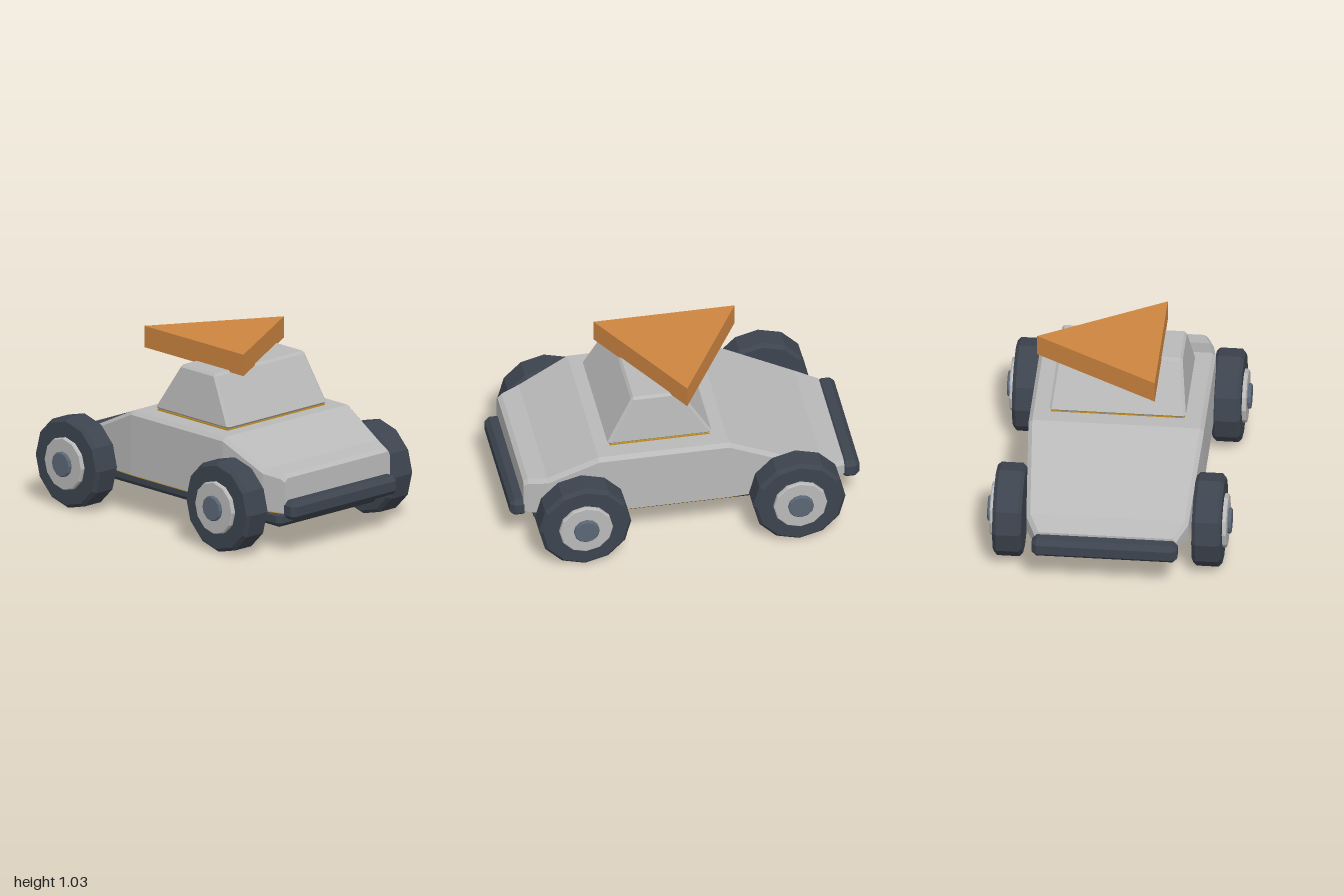
import * as THREE from 'three';
import { ConvexGeometry } from 'three/addons/geometries/ConvexGeometry.js';

const material = (name, color) => {
  const m = new THREE.MeshStandardMaterial({ color, flatShading: true });
  m.name = name;
  return m;
};

// Chamfered block whose bottom and top rectangles may differ: [x0, x1, half depth]
function chamferedBlock(y0, y1, bottom, top, c) {
  const points = [];
  for (const [y, up, [x0, x1, zHalf]] of [[y0, -1, bottom], [y1, 1, top]]) {
    for (const [x, sx] of [[x0, -1], [x1, 1]]) {
      for (const sz of [-1, 1]) {
        const z = sz * zHalf;
        const xi = x - sx * c, yi = y - up * c, zi = z - sz * c;
        points.push(
          new THREE.Vector3(x, yi, zi),
          new THREE.Vector3(xi, y, zi),
          new THREE.Vector3(xi, yi, z),
        );
      }
    }
  }
  return new ConvexGeometry(points);
}

// Lofted shell along x from stations [x, top height, half width]
function loft(stations, y0, c) {
  const rings = stations.map(([x, top, w]) => [
    [x, y0, w], [x, top - c, w], [x, top, w - c],
    [x, top, c - w], [x, top - c, -w], [x, y0, -w],
  ]);
  const pos = [];
  const tri = (a, b, d) => pos.push(...a, ...b, ...d);
  const n = rings[0].length;
  for (let s = 0; s < rings.length - 1; s++) {
    const r = rings[s], q = rings[s + 1];
    for (let i = 0; i < n; i++) {
      const j = (i + 1) % n;
      tri(r[i], q[i], q[j]);
      tri(r[i], q[j], r[j]);
    }
  }
  const first = rings[0], last = rings[rings.length - 1];
  for (let i = 1; i < n - 1; i++) {
    tri(first[0], first[i], first[i + 1]);
    tri(last[0], last[i + 1], last[i]);
  }
  const g = new THREE.BufferGeometry();
  g.setAttribute('position', new THREE.Float32BufferAttribute(pos, 3));
  g.computeVertexNormals();
  return g;
}

// Disc along +z from z0 to z1 with chamfered rims
function disc(radius, z0, z1, c, sides = 12) {
  const profile = [[0, z0], [radius - c, z0], [radius, z0 + c], [radius, z1 - c], [radius - c, z1], [0, z1]]
    .map(([r, z]) => new THREE.Vector2(r, z));
  return new THREE.LatheGeometry(profile, sides).rotateX(Math.PI / 2);
}

export function createModel() {
  const grey = material('paintGrey', 0xb9b9b9);
  const dark = material('rubberDark', 0x3d444f);
  const steel = material('hubSteel', 0x5b6776);
  const gold = material('trimGold', 0xc8921f);
  const orange = material('signOrange', 0xcd8540);

  const model = new THREE.Group();
  model.name = 'car';
  const add = (parent, name, geometry, mat) => {
    const mesh = new THREE.Mesh(geometry, mat);
    mesh.name = name;
    parent.add(mesh);
    return mesh;
  };

  // Body shell with sloping nose and tail
  const stations = [
    [-0.91, 0.33, 0.40], [-0.78, 0.362, 0.457], [-0.235, 0.624, 0.495],
    [0.51, 0.624, 0.495], [0.795, 0.488, 0.457], [0.9, 0.47, 0.418], [0.925, 0.452, 0.408],
  ];
  add(model, 'body', loft(stations, 0.251, 0.022), grey);

  // Trim plate under the body
  const trim = stations.map(([x, , w]) => [x * 0.99, 0.252, w - 0.008]);
  add(model, 'underTrim', loft(trim, 0.243, 0.002), gold);

  // Chassis floor
  const floor = [-0.86, 0.86, 0.39];
  add(model, 'chassis', chamferedBlock(0.145, 0.236, floor, floor, 0.025), dark);

  // Cabin and its trim
  add(model, 'cabin', chamferedBlock(0.632, 0.92, [-0.155, 0.44, 0.385], [0.01, 0.3, 0.352], 0.014), grey);
  const cabinTrim = new THREE.BoxGeometry(0.57, 0.009, 0.755).translate(0.143, 0.628, 0);
  add(model, 'cabinTrim', cabinTrim, gold);

  // Triangular roof sign, point toward the back
  const triangle = new THREE.Shape([
    new THREE.Vector2(-0.402, -0.233), new THREE.Vector2(0.405, -0.233), new THREE.Vector2(0.001, 0.467),
  ]);
  const sign = new THREE.ExtrudeGeometry(triangle, { depth: 0.125, bevelEnabled: false });
  add(model, 'roofSign', sign.rotateX(-Math.PI / 2).translate(0, 0.91, 0), orange);

  // Bumpers at both ends
  for (const s of [-1, 1]) {
    const [x0, x1] = s > 0 ? [0.895, 1] : [-1, -0.895];
    const size = [x0, x1, 0.411];
    add(model, s > 0 ? 'leftBumper' : 'rightBumper', chamferedBlock(0.215, 0.325, size, size, 0.027), dark);
  }

  // Wheels: tyre, rim and hub
  const tyre = disc(0.264, 0.48, 0.644, 0.02);
  const rim = disc(0.153, 0.6, 0.668, 0.006);
  const hub = disc(0.073, 0.62, 0.688, 0.006);
  for (const x of [-0.61, 0.615]) {
    for (const front of [true, false]) {
      const wheel = new THREE.Group();
      wheel.name = (front ? 'front' : 'back') + (x > 0 ? 'Left' : 'Right') + 'Wheel';
      add(wheel, 'tyre', tyre, dark);
      add(wheel, 'rim', rim, grey);
      add(wheel, 'hub', hub, steel);
      wheel.position.set(x, 0.269, 0);
      if (!front) wheel.rotation.y = Math.PI;
      model.add(wheel);
    }
  }

  // Stand on the ground plane
  model.position.y = -0.005;
  return model;
}
